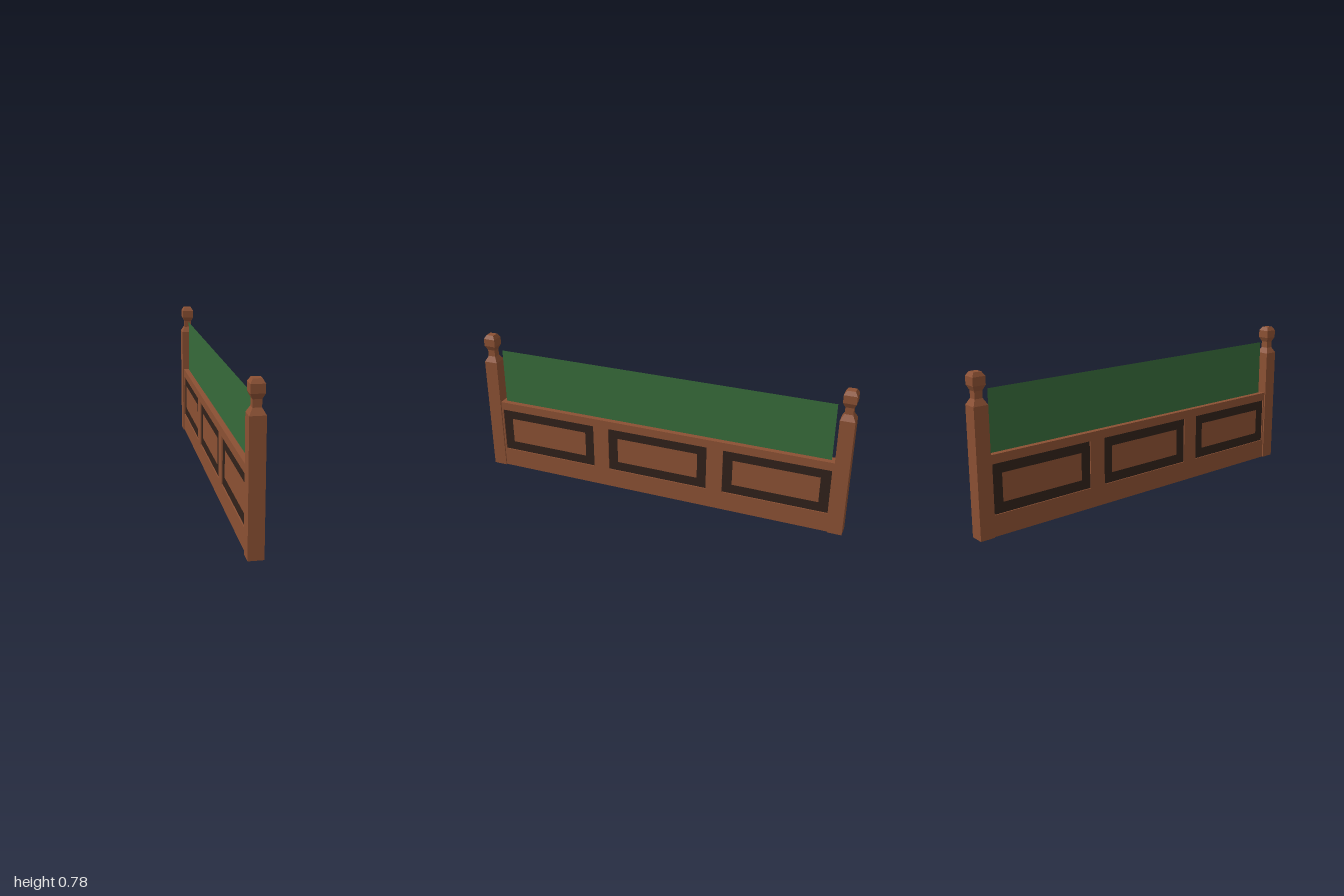
import * as THREE from 'three';

const wood = new THREE.MeshStandardMaterial({ color: 0x8b5033, flatShading: true });
const darkWood = new THREE.MeshStandardMaterial({ color: 0x30211a });
const green = new THREE.MeshStandardMaterial({ color: 0x376b3a, side: THREE.DoubleSide });

// Rectangle centred on (u, y); u runs along the length of the board
function rect(u, y, w, h, Type = THREE.Shape) {
  const s = new Type();
  s.moveTo(u - w / 2, y - h / 2);
  s.lineTo(u + w / 2, y - h / 2);
  s.lineTo(u + w / 2, y + h / 2);
  s.lineTo(u - w / 2, y + h / 2);
  s.closePath();
  return s;
}

// Flat slab standing in the yz plane, centred on x = 0
function slab(shape, thickness) {
  const g = new THREE.ExtrudeGeometry(shape, { depth: thickness, bevelEnabled: false });
  g.translate(0, 0, -thickness / 2);
  g.rotateY(Math.PI / 2);
  return g;
}

export function createModel() {
  const model = new THREE.Group();
  model.name = 'panelledScreen';
  const add = (name, geometry, material) => {
    const mesh = new THREE.Mesh(geometry, material);
    mesh.name = name;
    model.add(mesh);
    return mesh;
  };

  // Square turned end posts: [half width, height]
  const profile = [
    [0, 0], [0.0365, 0], [0.0365, 0.63], [0.02, 0.66], [0.02, 0.695],
    [0.032, 0.72], [0.032, 0.76], [0.02, 0.78], [0, 0.78],
  ].map(([r, y]) => new THREE.Vector2(r * Math.SQRT2, y));
  const postGeometry = new THREE.LatheGeometry(profile, 4, Math.PI / 4).toNonIndexed();
  postGeometry.computeVertexNormals();
  for (const side of [1, -1]) {
    add(side > 0 ? 'frontPost' : 'backPost', postGeometry, wood).position.z = side * 0.9635;
  }

  // Lower board with three shallow recesses on both faces
  const panelY = 0.228, panelW = 0.554, panelH = 0.245;
  const centres = [-0.641, 0, 0.641];
  const board = rect(0, 0.1975, 1.92, 0.395);
  for (const u of centres) board.holes.push(rect(u, panelY, panelW, panelH, THREE.Path));
  add('lowerBoard', slab(board, 0.058), wood);

  // Dark border and wooden field inside each recess
  for (const u of centres) {
    const border = rect(u, panelY, panelW, panelH);
    border.holes.push(rect(u, panelY, 0.45, 0.142, THREE.Path));
    add('panelBorder', slab(border, 0.046), darkWood);
    add('panelField', slab(rect(u, panelY, 0.45, 0.142), 0.046), wood);
  }

  // Thin green sheet above the board
  const sheet = new THREE.PlaneGeometry(1.814, 0.3);
  sheet.rotateY(Math.PI / 2);
  add('greenSheet', sheet, green).position.y = 0.545;

  return model;
}
